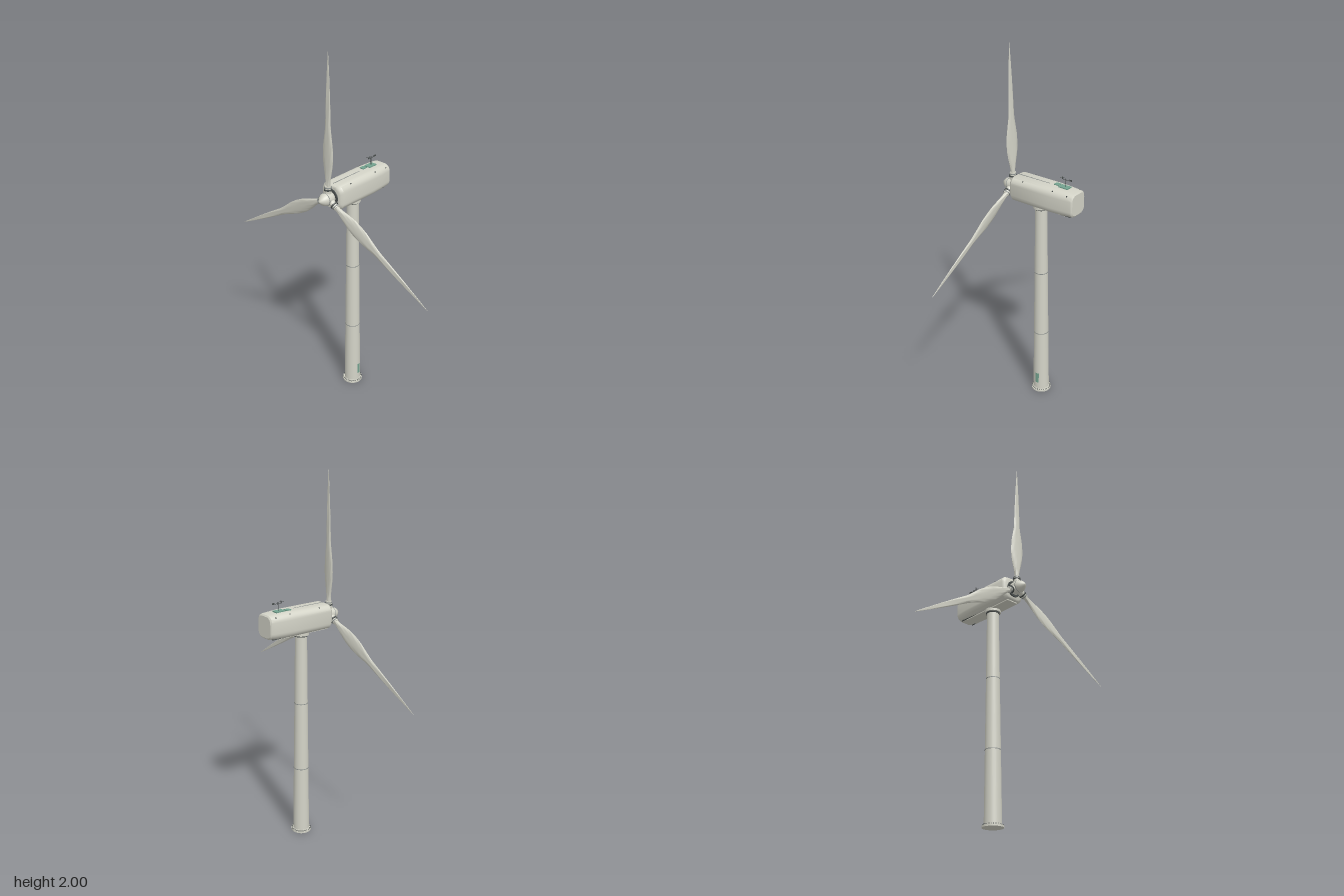
import * as THREE from 'three';
import { toCreasedNormals } from 'three/addons/utils/BufferGeometryUtils.js';

const mat = (name, color) => Object.assign(new THREE.MeshStandardMaterial({ color }), { name });
const V = (x, y, z) => new THREE.Vector3(x, y, z);

// Closed skin through a list of rings that run right-handed about the loft direction
function loft(rings, crease) {
  const n = rings[0].length, pos = [], idx = [];
  rings.forEach(r => r.forEach(p => pos.push(p.x, p.y, p.z)));
  for (let i = 0; i < rings.length - 1; i++) {
    for (let j = 0; j < n; j++) {
      const a = i * n + j, b = i * n + (j + 1) % n;
      idx.push(a, b, b + n, a, b + n, a + n);
    }
  }
  const last = (rings.length - 1) * n;
  for (let j = 1; j < n - 1; j++) idx.push(0, j + 1, j, last, last + j, last + j + 1);
  const g = new THREE.BufferGeometry();
  g.setAttribute('position', new THREE.Float32BufferAttribute(pos, 3));
  g.setIndex(idx);
  return toCreasedNormals(g, crease);
}

// Rounded rectangle in the yz plane
function roundedRing(x, hy, hz, r, cy) {
  const pts = [];
  for (let k = 0; k < 4; k++) {
    const sy = k === 0 || k === 3 ? 1 : -1, sz = k < 2 ? 1 : -1;
    for (let s = 0; s <= 6; s++) {
      const a = (k + s / 6) * Math.PI / 2;
      pts.push(V(x, cy + sy * (hy - r) + r * Math.cos(a), sz * (hz - r) + r * Math.sin(a)));
    }
  }
  return pts;
}

// Twisted lens section of a blade at radius y
function bladeRing(y, half, thick, twist) {
  return Array.from({ length: 20 }, (_, i) => {
    const a = i / 20 * Math.PI * 2, z = half * Math.cos(a), x = thick * Math.sin(a);
    return V(x * Math.cos(twist) - z * Math.sin(twist), y, z * Math.cos(twist) + x * Math.sin(twist));
  });
}

export function createModel() {
  const shell = mat('warm light grey', 0xd3d3c7);
  const steel = mat('mid grey', 0x8d9290);
  const dark = mat('dark grey', 0x4a4f4e);
  const green = mat('muted green', 0x74a28f);

  const model = new THREE.Group();
  const CX = 0.007, CZ = 0.006, HUB_Y = 1.242;
  const add = (parent, name, geo, material, x = 0, y = 0, z = 0) => {
    const m = new THREE.Mesh(geo, material);
    m.name = name;
    m.position.set(x, y, z);
    parent.add(m);
    return m;
  };
  const cyl = (rt, rb, h, n = 40, open = false) => new THREE.CylinderGeometry(rt, rb, h, n, 1, open);
  const box = (w, h, d) => new THREE.BoxGeometry(w, h, d);

  // Tower
  const tower = new THREE.Group();
  tower.name = 'tower';
  tower.position.set(CX, 0, CZ);
  model.add(tower);
  const rAt = y => 0.045 - 0.013 * y / 1.16;
  add(tower, 'towerShaft', cyl(rAt(1.165), rAt(0), 1.165), shell, 0, 0.5825);
  add(tower, 'baseFlange', cyl(0.055, 0.055, 0.01), shell, 0, 0.005);
  add(tower, 'baseCollar', cyl(0.048, 0.048, 0.006), shell, 0, 0.013);
  for (let i = 0; i < 28; i++) {
    const a = i / 28 * Math.PI * 2;
    add(tower, 'baseBolt', cyl(0.002, 0.002, 0.006, 6), dark, 0.0515 * Math.cos(a), 0.012, 0.0515 * Math.sin(a));
  }
  for (const y of [0.39, 0.775]) add(tower, 'towerSeam', cyl(rAt(y) + 0.0008, rAt(y) + 0.0008, 0.004), steel, 0, y);
  add(tower, 'yawRing', cyl(0.037, 0.035, 0.008), dark, 0, 1.157);
  add(tower, 'yawCollar', cyl(0.043, 0.043, 0.018), shell, 0, 1.169);

  // Tower door, curved with the wall
  const door = add(tower, 'door',
    new THREE.CylinderGeometry(rAt(0.12) + 0.0015, rAt(0.055) + 0.0015, 0.064, 8, 1, true, -0.18, 0.52), green, 0, 0.088);
  door.material.side = THREE.DoubleSide;

  // Nacelle
  const nacelle = new THREE.Group();
  nacelle.name = 'nacelle';
  nacelle.position.z = CZ;
  model.add(nacelle);
  const sections = [
    [-0.155, 0.052, 0.054, 0.03], [-0.151, 0.06, 0.062, 0.035], [-0.138, 0.067, 0.07, 0.038],
    [0.1, 0.068, 0.07, 0.038], [0.165, 0.067, 0.067, 0.038], [0.215, 0.065, 0.062, 0.036],
    [0.235, 0.063, 0.059, 0.034], [0.241, 0.056, 0.052, 0.03],
  ];
  add(nacelle, 'nacelleShell', loft(sections.map(s => roundedRing(...s, 1.243)), 0.6), shell);
  add(nacelle, 'undersidePlate', box(0.33, 0.005, 0.07), shell, 0.02, 1.1745);
  add(nacelle, 'roofSeam', box(0.2, 0.002, 0.003), steel, -0.04, 1.311);
  for (const s of [-1, 1]) {
    add(nacelle, 'bottomRail', box(0.14, 0.006, 0.005), dark, 0.15, 1.179, s * 0.037);
    for (const x of [-0.07, 0.12]) add(nacelle, 'liftingEye', box(0.006, 0.004, 0.004), dark, x, 1.302, s * 0.056);
    add(nacelle, 'rearLatch', box(0.004, 0.012, 0.004), dark, 0.208, 1.293, s * 0.054);
  }

  // Roof hatches and weather mast
  add(nacelle, 'smallHatch', box(0.029, 0.006, 0.027), green, 0.103, 1.312, -0.012);
  add(nacelle, 'largeHatch', box(0.056, 0.007, 0.036), green, 0.153, 1.312, -0.005);
  add(nacelle, 'mast', cyl(0.0018, 0.0018, 0.05, 8), dark, 0.158, 1.336, -0.006);
  add(nacelle, 'mastBar', box(0.05, 0.002, 0.002), dark, 0.16, 1.353, -0.006);
  add(nacelle, 'windVane', box(0.016, 0.009, 0.0015), dark, 0.188, 1.356, -0.006);
  add(nacelle, 'windCupHub', cyl(0.0015, 0.0015, 0.01, 6), dark, 0.137, 1.357, -0.006);
  for (let i = 0; i < 3; i++) {
    const a = i * Math.PI * 2 / 3;
    add(nacelle, 'windCup', new THREE.SphereGeometry(0.003, 8, 6), dark,
      0.137 + 0.008 * Math.cos(a), 1.361, -0.006 + 0.008 * Math.sin(a));
  }

  // Rotor, turned slightly toward +z
  const rotor = new THREE.Group();
  rotor.name = 'rotor';
  rotor.position.set(-0.18, HUB_Y, CZ);
  rotor.rotation.x = 0.017;
  model.add(rotor);
  const nose = [[0, -0.026], [0.032, -0.026], [0.034, -0.01], [0.034, 0.02], [0.032, 0.03],
    [0.025, 0.043], [0.015, 0.054], [0.007, 0.061], [0, 0.064]].map(p => new THREE.Vector2(...p));
  add(rotor, 'spinner', new THREE.LatheGeometry(nose, 32), shell).rotation.z = Math.PI / 2;
  add(rotor, 'shaftRing', cyl(0.045, 0.045, 0.006), dark, 0.022).rotation.z = Math.PI / 2;
  add(rotor, 'spinnerBand', cyl(0.0346, 0.0346, 0.003), steel, -0.021).rotation.z = Math.PI / 2;

  // Blade sections: radius, half chord, half thickness, twist
  const profile = [
    [0.065, 0.013, 0.012, 0.15], [0.085, 0.014, 0.011, 0.15], [0.11, 0.019, 0.01, 0.15],
    [0.15, 0.029, 0.009, 0.15], [0.19, 0.036, 0.0085, 0.14], [0.23, 0.0385, 0.008, 0.13],
    [0.28, 0.036, 0.0075, 0.12], [0.33, 0.028, 0.007, 0.11], [0.37, 0.021, 0.0065, 0.1],
    [0.4, 0.019, 0.006, 0.1], [0.48, 0.0165, 0.005, 0.08], [0.57, 0.0125, 0.004, 0.06],
    [0.66, 0.0075, 0.0025, 0.04], [0.72, 0.0035, 0.0015, 0.02], [0.758, 0.0006, 0.0005, 0],
  ];
  const bladeGeo = loft(profile.map(p => bladeRing(...p)), 0.9);
  for (let i = 0; i < 3; i++) {
    const arm = new THREE.Group();
    arm.name = 'bladeAssembly';
    arm.rotation.x = i * Math.PI * 2 / 3;
    rotor.add(arm);
    add(arm, 'blade', bladeGeo, shell);
    add(arm, 'bladeRoot', cyl(0.016, 0.018, 0.05, 24), shell, 0, 0.045);
    add(arm, 'pitchRing', cyl(0.021, 0.021, 0.007, 24), dark, 0, 0.05);
    add(arm, 'rootClamp', cyl(0.019, 0.019, 0.005, 24), steel, 0, 0.062);
  }
  return model;
}
